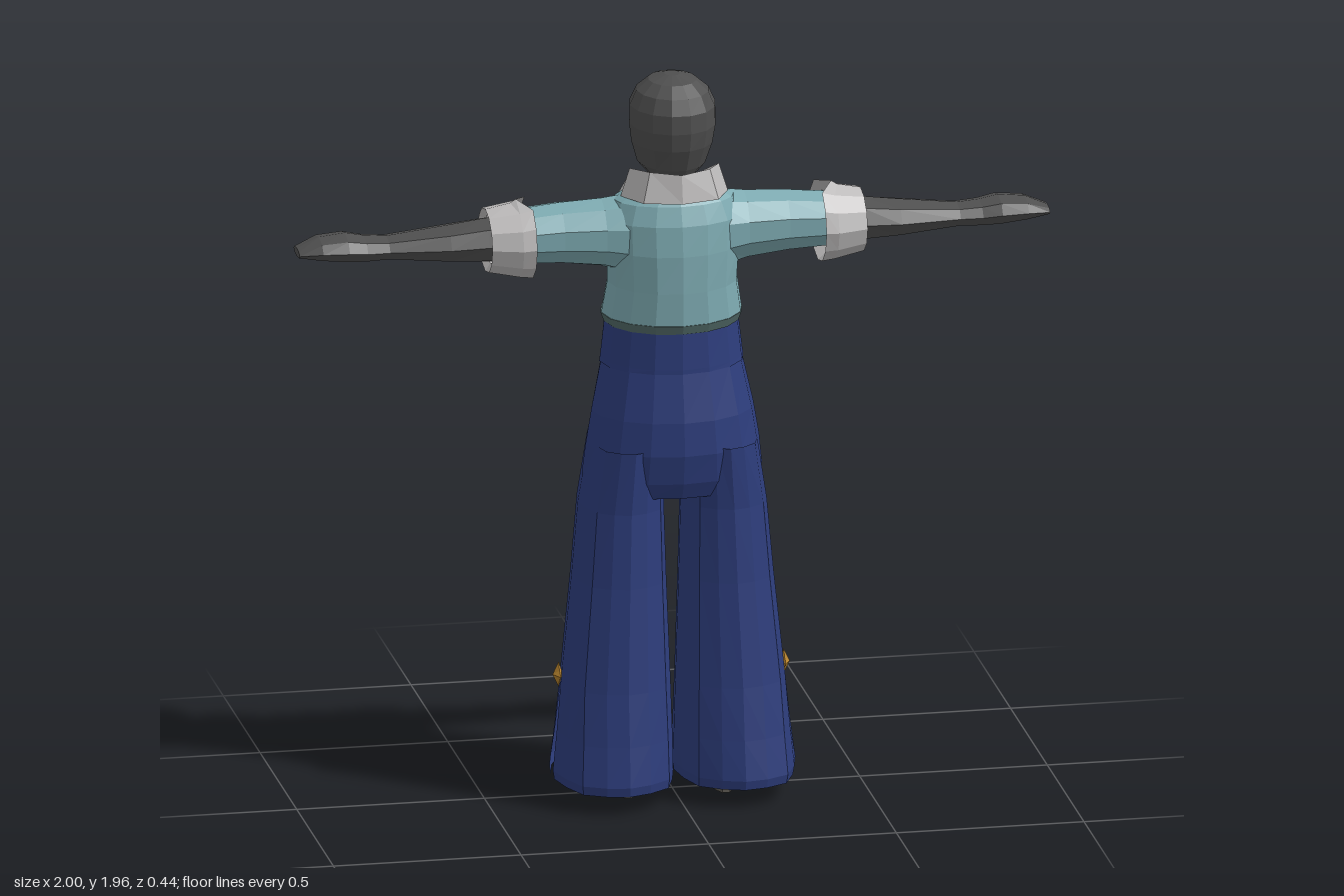
import * as THREE from 'three';

const mat = (name, color, side = THREE.FrontSide) => {
  const m = new THREE.MeshStandardMaterial({ color, flatShading: true, side });
  m.name = name;
  return m;
};

// Skin a list of rings; every ring has the same number of points
function loft(rings, { closed = true, caps = true, flip = false } = {}) {
  const n = rings[0].length, pos = [], idx = [];
  rings.forEach(r => r.forEach(p => pos.push(...p)));
  const tri = (a, b, c) => (flip ? idx.push(a, c, b) : idx.push(a, b, c));
  for (let i = 0; i < rings.length - 1; i++) {
    for (let j = 0; j < (closed ? n : n - 1); j++) {
      const k = (j + 1) % n, a = i * n + j, b = i * n + k;
      tri(a, a + n, b);
      tri(b, a + n, b + n);
    }
  }
  if (closed && caps) {
    const last = (rings.length - 1) * n;
    for (let j = 1; j < n - 1; j++) {
      tri(0, j, j + 1);
      tri(last, last + j + 1, last + j);
    }
  }
  const g = new THREE.BufferGeometry();
  g.setAttribute('position', new THREE.Float32BufferAttribute(pos, 3));
  g.setIndex(idx);
  const flat = g.toNonIndexed();
  flat.computeVertexNormals();
  return flat;
}

// Horizontal ring [y, halfWidth, backZ, frontZ, centreX]
const ringY = (n, [y, rx, zb, zf, cx = 0]) => Array.from({ length: n }, (_, i) => {
  const t = i / n * Math.PI * 2;
  return [cx + rx * Math.cos(t), y, (zb + zf) / 2 + (zb - zf) / 2 * Math.sin(t)];
});
const column = (n, rows) => loft(rows.map(r => ringY(n, r)));

// Upright ring [x, bottomY, topY, centreZ, halfDepth] for arms; s is the side
const ringX = (n, s, [x, y0, y1, cz, rz]) => Array.from({ length: n }, (_, i) => {
  const t = i / n * Math.PI * 2;
  return [s * x, (y0 + y1) / 2 + (y1 - y0) / 2 * Math.cos(t), cz - rz * Math.sin(t)];
});
const limb = (n, s, rows) => loft(rows.map(r => ringX(n, s, r)), { flip: s < 0 });

const TORSO = [
  [1.31, 0.187, 0.155, -0.175], [1.4, 0.173, 0.157, -0.155], [1.5, 0.178, 0.155, -0.125],
  [1.58, 0.18, 0.145, -0.105], [1.63, 0.16, 0.125, -0.085], [1.665, 0.1, 0.1, -0.06],
];

// Depth of the chest surface at x, y
function chestZ(x, y) {
  let i = 0;
  while (i < TORSO.length - 2 && y > TORSO[i + 1][0]) i++;
  const a = TORSO[i], b = TORSO[i + 1], f = (y - a[0]) / (b[0] - a[0]);
  const [, rx, zb, zf] = a.map((v, k) => v + (b[k] - v) * f);
  return (zb + zf) / 2 - (zb - zf) / 2 * Math.sqrt(Math.max(0, 1 - (x / rx) ** 2));
}

export function createModel() {
  const model = new THREE.Group();
  const skin = mat('charcoal skin', 0x4f4f4f);
  const chest = mat('charcoal chest', 0x4f4f4f, THREE.DoubleSide);
  const teal = mat('teal cloth', 0x7eabb2);
  const trim = mat('dark teal trim', 0x526a68);
  const navy = mat('navy cloth', 0x2d3d7c, THREE.DoubleSide);
  const white = mat('pale grey cloth', 0xbebcbc, THREE.DoubleSide);
  const gold = mat('gold', 0xb5822e);
  const shoe = mat('warm grey shoe', 0x5c5852);
  const add = (name, geo, material) => {
    const m = new THREE.Mesh(geo, material);
    m.name = name;
    model.add(m);
    return m;
  };

  // Head and neck, face towards -z
  add('head', column(14, [
    [1.58, 0.06, 0.08, -0.05], [1.68, 0.062, 0.075, -0.06], [1.685, 0.06, 0.08, -0.118],
    [1.72, 0.09, 0.1, -0.132], [1.78, 0.108, 0.125, -0.133], [1.83, 0.115, 0.135, -0.126],
    [1.88, 0.114, 0.134, -0.125], [1.92, 0.096, 0.115, -0.105], [1.947, 0.064, 0.078, -0.07],
    [1.96, 0.02, 0.025, -0.025],
  ]), skin);
  const nose = add('nose', new THREE.ConeGeometry(0.018, 0.05, 4), skin);
  nose.position.set(0, 1.79, -0.13);

  // Jacket body
  add('jacket', column(16, TORSO), teal);
  add('jacketHem', column(16, [[1.288, 0.18, 0.15, -0.17], [1.312, 0.189, 0.157, -0.177]]), trim);

  // Bare chest in the open neckline
  const vRows = [];
  for (let i = 0; i <= 5; i++) {
    const y = 1.44 + i * 0.04, w = 0.004 + i * 0.018;
    vRows.push([-1, -0.5, 0, 0.5, 1].map(k => [k * w, y, chestZ(k * w, y) - 0.005]));
  }
  add('chest', loft(vRows, { closed: false }), chest);

  // Collar: outer, top and inner edges running from the back of the neck to the V
  const half = [
    [[0, 1.645, 0.15], [0, 1.72, 0.135], [0, 1.68, 0.085]],
    [[0.1, 1.645, 0.125], [0.08, 1.725, 0.108], [0.055, 1.68, 0.07]],
    [[0.143, 1.64, 0.03], [0.119, 1.715, 0.03], [0.075, 1.66, 0.02]],
    [[0.135, 1.61, -0.068], [0.1, 1.665, -0.075], [0.072, 1.63, -0.07]],
    [[0.095, 1.54, -0.113], [0.06, 1.575, -0.125], [0.045, 1.565, -0.105]],
    [[0.012, 1.425, -0.158], [0, 1.47, -0.155], [0, 1.475, -0.135]],
  ];
  const mirrored = half.slice(1).reverse().map(r => r.map(([x, y, z]) => [-x, y, z]));
  add('collar', loft([...mirrored, ...half], { closed: false }), white);

  for (const s of [1, -1]) {
    const side = s > 0 ? 'left' : 'right';

    // Sleeve, folded cuff, forearm, hand
    add(side + 'Sleeve', limb(10, s, [
      [0.1, 1.42, 1.645, 0.015, 0.1], [0.19, 1.445, 1.63, 0.005, 0.092],
      [0.3, 1.457, 1.622, -0.003, 0.09], [0.42, 1.465, 1.61, 0, 0.085],
    ]), teal);
    const cuff = [
      [0.43, 1.465, 1.61, 0.01, 0.085], [0.385, 1.43, 1.645, 0.018, 0.12],
      [0.42, 1.435, 1.635, 0.018, 0.118], [0.5, 1.45, 1.62, 0.012, 0.1], [0.485, 1.47, 1.6, 0.005, 0.075],
    ].map(r => ringX(12, s, r));
    cuff[1][0][0] = s * 0.42;
    cuff[2][0][0] = s * 0.435;
    add(side + 'Cuff', loft(cuff, { caps: false, flip: s < 0 }), white);
    add(side + 'Forearm', limb(8, s, [
      [0.4, 1.465, 1.6, 0.005, 0.075], [0.5, 1.473, 1.592, 0, 0.077], [0.6, 1.48, 1.578, -0.002, 0.075],
      [0.76, 1.496, 1.558, -0.005, 0.056], [0.82, 1.493, 1.562, -0.008, 0.062],
      [0.87, 1.495, 1.572, -0.008, 0.071], [0.94, 1.505, 1.565, -0.006, 0.067], [1, 1.518, 1.54, 0, 0.042],
    ]), skin);
    add(side + 'Thumb', limb(6, s, [
      [0.82, 1.49, 1.53, -0.04, 0.02], [0.87, 1.481, 1.512, -0.056, 0.022], [0.935, 1.484, 1.502, -0.06, 0.012],
    ]), skin);

    // Wide trouser leg with a slit low on the outer seam
    const legRows = [
      [0.97, 0.03, 0.222, 0.16, -0.16, 0], [0.8, 0.024, 0.25, 0.153, -0.163, 0],
      [0.6, 0.018, 0.268, 0.165, -0.166, 0], [0.32, 0.008, 0.297, 0.192, -0.177, 0],
      [0.18, 0.004, 0.311, 0.21, -0.197, 0.06], [0.075, 0.002, 0.324, 0.225, -0.216, 0.11],
      [0.05, 0.004, 0.32, 0.22, -0.212, 0.11],
    ];
    const leg = legRows.map(([y, xi, xo, zb, zf, gap]) => Array.from({ length: 17 }, (_, i) => {
      const t = gap + i / 16 * (Math.PI * 2 - 2 * gap);
      const pleat = i % 4 === 2 ? 1.06 : 1;
      return [s * ((xi + xo) / 2 + (xo - xi) / 2 * Math.cos(t) * pleat), y,
        (zb + zf) / 2 + (zb - zf) / 2 * Math.sin(t) * pleat];
    }));
    add(side + 'TrouserLeg', loft(leg, { closed: false, flip: s > 0 }), navy);

    // Lower leg and shoe
    add(side + 'LowerLeg', column(8, [
      [0.06, 0.028, 0.07, 0, s * 0.13], [0.2, 0.035, 0.065, -0.02, s * 0.135], [0.6, 0.06, 0.07, -0.06, s * 0.13],
    ]), skin);
    add(side + 'Shoe', column(10, [
      [0, 0.032, 0.078, -0.122, s * 0.13], [0.025, 0.033, 0.078, -0.118, s * 0.13],
      [0.05, 0.03, 0.074, -0.07, s * 0.13], [0.09, 0.028, 0.07, -0.015, s * 0.13], [0.17, 0.033, 0.066, -0.02, s * 0.132],
    ]), shoe);
  }

  // Trouser seat and waistband
  add('trouserSeat', column(16, [
    [0.835, 0.235, 0.14, -0.15], [0.88, 0.24, 0.16, -0.164], [0.96, 0.231, 0.176, -0.166],
    [1.05, 0.216, 0.172, -0.167], [1.18, 0.188, 0.148, -0.168],
  ]), navy);
  add('waistband', column(16, [
    [1.178, 0.192, 0.15, -0.172], [1.19, 0.19, 0.15, -0.174], [1.295, 0.178, 0.146, -0.172],
  ]), navy);

  // Four-pointed studs
  const star = [[-0.012, 0.001], [0, 1], [0.016, 0.001]].map(([y, k]) =>
    Array.from({ length: 8 }, (_, i) => {
      const t = i / 8 * Math.PI * 2, r = k * (i % 2 ? 0.018 : 0.034);
      return [r * Math.cos(t), y, r * Math.sin(t)];
    }));
  const starGeo = loft(star);
  for (const s of [1, -1]) {
    for (const y of [1.23, 1.1]) {
      const stud = add('frontStud', starGeo, gold);
      stud.position.set(s * 0.068, y, -0.167);
      stud.rotation.set(-Math.PI / 2, 0, 0);
      stud.scale.set(0.85, 1, 1.15);
    }
    const hemStud = add('sideStud', starGeo, gold);
    hemStud.position.set(s * 0.3, 0.325, -0.012);
    hemStud.rotation.z = -s * Math.PI / 2;
  }

  // Crossed chest laces
  const lace = (x0, y0, x1, y1, lift) => {
    const a = new THREE.Vector3(x0, y0, chestZ(x0, y0) - lift);
    const b = new THREE.Vector3(x1, y1, chestZ(x1, y1) - lift);
    const bar = add('lace', new THREE.CylinderGeometry(0.008, 0.008, a.distanceTo(b), 6), gold);
    bar.position.copy(a).lerp(b, 0.5);
    bar.quaternion.setFromUnitVectors(new THREE.Vector3(0, 1, 0), b.sub(a).normalize());
  };
  lace(-0.055, 1.325, 0.055, 1.375, 0.012);
  lace(0.055, 1.325, -0.055, 1.375, 0.016);
  lace(-0.035, 1.42, 0.035, 1.42, 0.01);

  return model;
}
